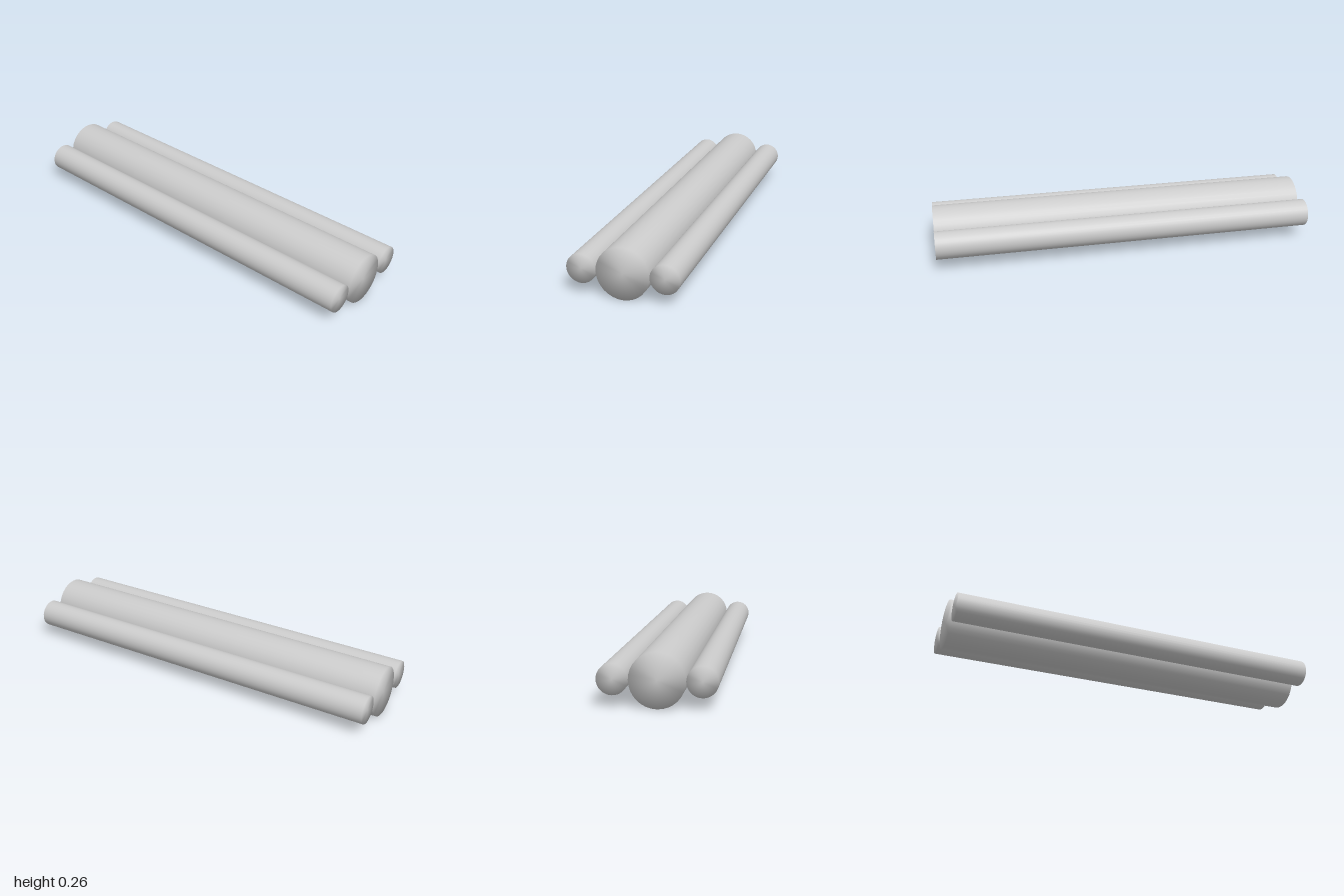
import * as THREE from 'three';
import { mergeVertices } from 'three/addons/utils/BufferGeometryUtils.js';

const LENGTH = 2;
const MAIN_RADIUS = 0.129;
const SIDE_RADIUS = 0.072;

// Flat-ended rod along x, with normals shared across the end rims
function rod(name, radius, z, material) {
  let geometry = new THREE.CylinderGeometry(radius, radius, LENGTH, 32);
  geometry.deleteAttribute('normal');
  geometry.deleteAttribute('uv');
  geometry = mergeVertices(geometry, 1e-5);
  geometry.rotateZ(Math.PI / 2);
  geometry.computeVertexNormals();
  const mesh = new THREE.Mesh(geometry, material);
  mesh.name = name;
  mesh.position.set(0, MAIN_RADIUS, z);
  return mesh;
}

export function createModel() {
  const group = new THREE.Group();
  group.name = 'tripleRod';
  const material = new THREE.MeshStandardMaterial({ color: 0xcccccc });

  // Thick middle rod
  group.add(rod('mainRod', MAIN_RADIUS, 0, material));

  // Thin rods touching it at the front and back
  const offset = MAIN_RADIUS + SIDE_RADIUS + 0.001;
  group.add(rod('frontRod', SIDE_RADIUS, offset, material));
  group.add(rod('backRod', SIDE_RADIUS, -offset, material));

  return group;
}
